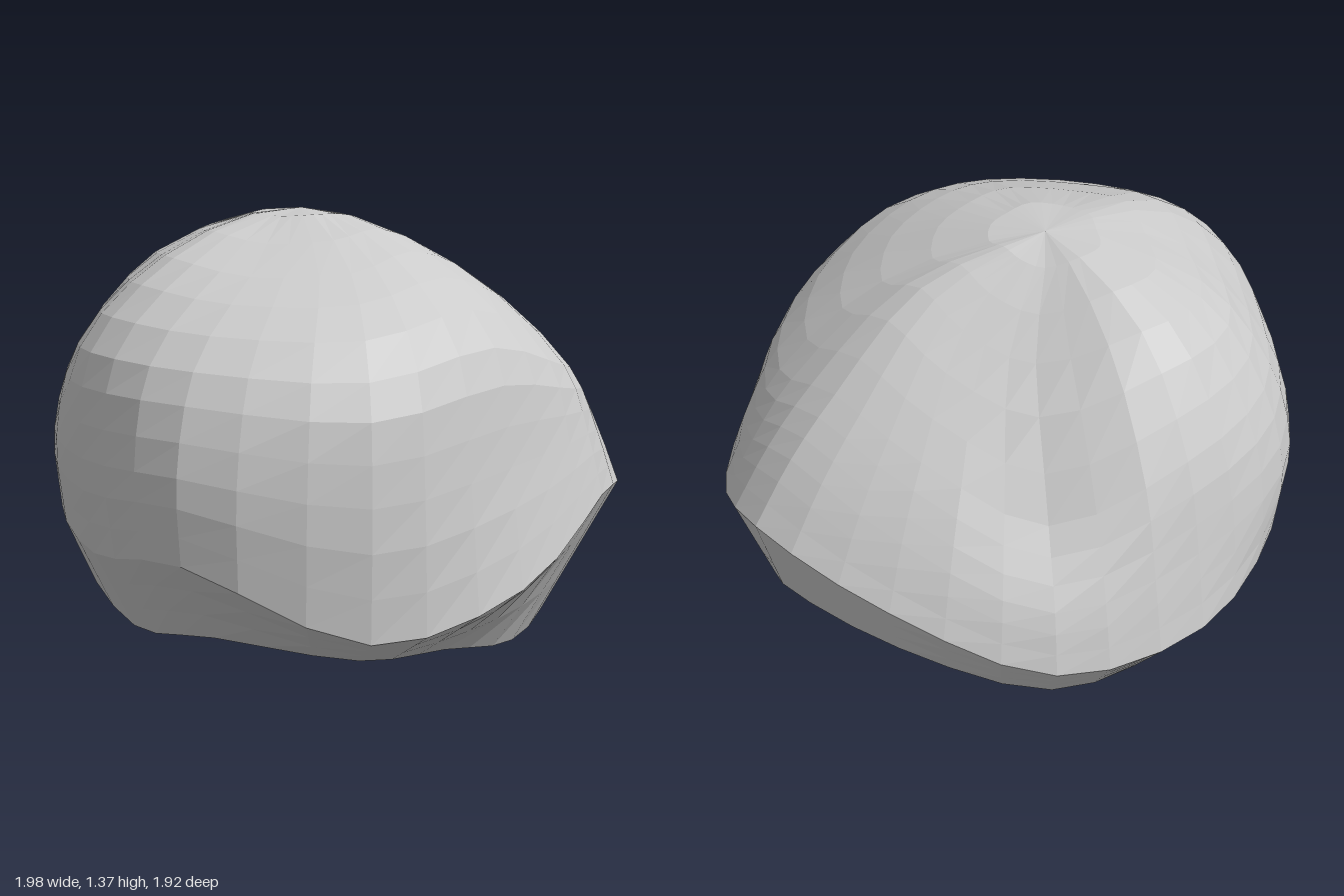
import * as THREE from 'three';

// One row per 30 degrees, from the front (+z) round through +x.
// Radius and height of: lower rim, edge, waist, shoulder, upper slope.
const PROFILES = [
  [0.60, 0.04, 0.96, 0.30, 0.90, 0.66, 0.82, 1.01, 0.42, 1.27],
  [0.64, 0.01, 0.93, 0.51, 0.88, 0.70, 0.80, 0.91, 0.43, 1.22],
  [0.74, 0.10, 0.96, 0.49, 0.88, 0.67, 0.76, 0.88, 0.42, 1.18],
  [0.92, 0.37, 1.00, 0.63, 0.86, 0.82, 0.69, 0.99, 0.36, 1.25],
  [0.91, 0.34, 0.97, 0.52, 0.87, 0.71, 0.72, 0.91, 0.40, 1.19],
  [0.90, 0.22, 1.00, 0.36, 0.95, 0.56, 0.83, 0.80, 0.50, 1.15],
  [0.80, 0.18, 0.96, 0.36, 0.92, 0.62, 0.85, 0.92, 0.62, 1.26],
  [0.80, 0.22, 0.90, 0.43, 0.92, 0.66, 0.84, 0.95, 0.62, 1.23],
  [0.80, 0.23, 0.88, 0.42, 0.90, 0.68, 0.81, 0.97, 0.55, 1.24],
  [0.76, 0.11, 0.90, 0.36, 0.94, 0.66, 0.90, 0.98, 0.60, 1.25],
  [0.86, 0.16, 1.07, 0.42, 1.09, 0.68, 0.98, 0.97, 0.60, 1.21],
  [0.76, 0.08, 1.03, 0.20, 1.05, 0.60, 0.98, 0.95, 0.56, 1.22],
];
const LEVELS = 5;
const AROUND = 36;
const FLAT_STEPS = 3;
const BEVEL_STEPS = 3;
const DOME_STEPS = 12;

// One profile level as a closed curve round the body
function levelCurve(level) {
  return new THREE.CatmullRomCurve3(PROFILES.map((p, i) => {
    const a = (i / PROFILES.length) * Math.PI * 2;
    const r = p[level * 2];
    return new THREE.Vector3(r * Math.sin(a), p[level * 2 + 1], r * Math.cos(a));
  }), true, 'centripetal');
}

// Push a point inwards round the whorl
function addHollow(v) {
  const centre = new THREE.Vector3(0.4, 0.78, -0.7);
  const amount = 0.05 * Math.exp(-((v.distanceTo(centre) / 0.2) ** 2));
  v.addScaledVector(centre.negate().normalize(), amount);
}

function bodyGeometry() {
  const levels = Array.from({ length: LEVELS }, (_, i) => levelCurve(i));
  const bottom = new THREE.Vector3(-0.03, 0.15, -0.12);
  const top = new THREE.Vector3(-0.02, 1.38, -0.13);
  const positions = [];
  const indices = [];
  const rows = FLAT_STEPS + BEVEL_STEPS + DOME_STEPS;

  for (let j = 0; j < AROUND; j++) {
    const t = j / AROUND;
    const [rim, edge, waist, shoulder, upper] = levels.map((c) => c.getPoint(t));
    // The dome curve runs on past the top so that it crosses it smoothly
    const across = levels[4].getPoint((t + 0.5) % 1);
    const dome = new THREE.CatmullRomCurve3(
      [edge, waist, shoulder, upper, top, across], false, 'centripetal');
    const rib = [];
    for (let i = 0; i < FLAT_STEPS; i++) {
      rib.push(bottom.clone().lerp(rim, i / FLAT_STEPS));
    }
    for (let i = 0; i < BEVEL_STEPS; i++) {
      rib.push(rim.clone().lerp(edge, i / BEVEL_STEPS));
    }
    for (let i = 0; i <= DOME_STEPS; i++) {
      rib.push(dome.getPoint(0.8 * i / DOME_STEPS));
    }
    for (const v of rib) {
      addHollow(v);
      positions.push(v.x, v.y, v.z);
    }
  }

  // Quads between neighbouring ribs, triangles at both poles
  for (let j = 0; j < AROUND; j++) {
    for (let i = 0; i < rows; i++) {
      const a = j * (rows + 1) + i;
      const b = ((j + 1) % AROUND) * (rows + 1) + i;
      if (i > 0) indices.push(a, b, b + 1);
      if (i < rows - 1) indices.push(a, b + 1, a + 1);
    }
  }

  const geometry = new THREE.BufferGeometry();
  geometry.setAttribute('position', new THREE.Float32BufferAttribute(positions, 3));
  geometry.setIndex(indices);
  geometry.computeVertexNormals();
  geometry.computeBoundingBox();
  geometry.translate(0, -geometry.boundingBox.min.y, 0);
  return geometry;
}

export function createModel() {
  const group = new THREE.Group();
  group.name = 'shell';
  const body = new THREE.Mesh(
    bodyGeometry(),
    new THREE.MeshStandardMaterial({ color: 0xcccccc, flatShading: true }));
  body.name = 'shellBody';
  group.add(body);
  return group;
}
